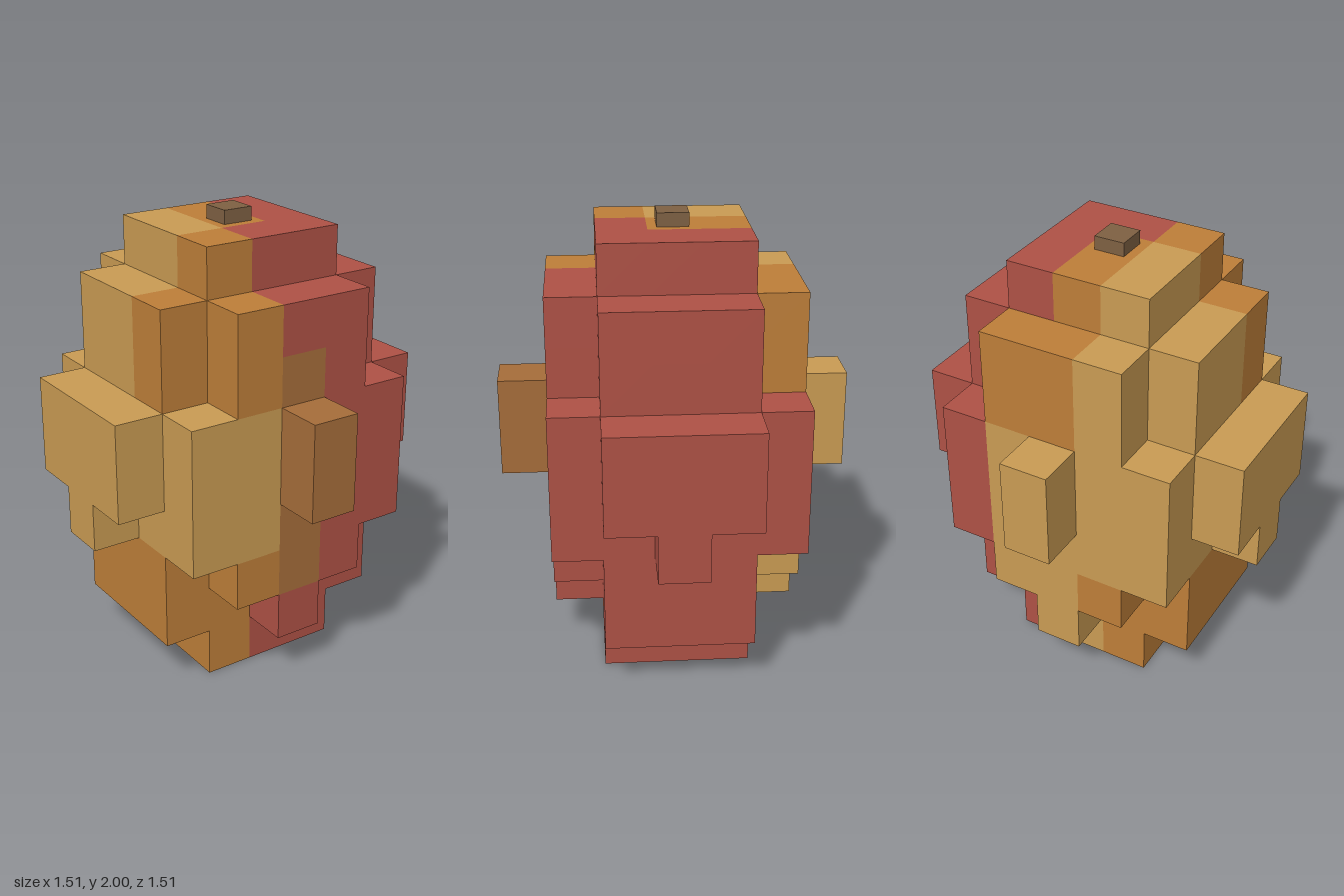
import * as THREE from 'three';
import { mergeGeometries } from 'three/addons/utils/BufferGeometryUtils.js';

const S = 0.2156; // block edge

const makeMaterial = (name, color) => {
  const m = new THREE.MeshStandardMaterial({ color });
  m.name = name;
  return m;
};

// Half width (in blocks) of every layer at |z| = 0, 1, 2, 3, from the bottom up
const LAYERS = [
  [1, 1], [2, 2, 0], [2, 2, 1],
  [3, 2, 2], [3, 3, 2, 0], [3, 3, 2, 0],
  [2, 2, 1], [2, 2, 1], [1, 1],
];

function filled(x, y, z) {
  const half = LAYERS[y]?.[Math.abs(z)];
  return half !== undefined && Math.abs(x) <= half;
}

// Colour patches: red on one side, tan and orange on the other, brown front stripe
function patchColor(x, y, z) {
  const tier = Math.floor(y / 3);
  if (x === 0 && z >= 2 && y >= 2 && y <= 6) return 'brown';
  if (x === 1 && z === -2) return tier === 2 ? 'orange' : 'tan';
  if (x > 0) return 'red';
  if (x === 0) {
    if (z > 0) return tier === 1 ? 'brown' : 'red';
    return tier === 2 ? 'orange' : 'tan';
  }
  if (tier === 0) return 'orange';
  if (tier === 1) return 'tan';
  return z > 0 ? 'orange' : 'tan';
}

const DIRECTIONS = [
  [1, 0, 0], [-1, 0, 0], [0, 1, 0], [0, -1, 0], [0, 0, 1], [0, 0, -1],
];
const FORWARD = new THREE.Vector3(0, 0, 1);

// One outward-facing square on the given side of a block
function blockFace(x, y, z, [dx, dy, dz]) {
  const turn = new THREE.Quaternion();
  if (dz === -1) turn.setFromAxisAngle(new THREE.Vector3(0, 1, 0), Math.PI);
  else turn.setFromUnitVectors(FORWARD, new THREE.Vector3(dx, dy, dz));
  return new THREE.PlaneGeometry(S, S)
    .applyQuaternion(turn)
    .translate((x + dx / 2) * S, (y + 0.5 + dy / 2) * S, (z + dz / 2) * S);
}

export function createModel() {
  const materials = {
    red: makeMaterial('red', 0xae5145),
    orange: makeMaterial('orange', 0xbd7e39),
    tan: makeMaterial('tan', 0xc99b53),
    brown: makeMaterial('brown', 0xa66d3a),
  };
  const model = new THREE.Group();
  model.name = 'blockFruit';

  // Body in three tiers, each with one mesh per colour patch
  ['lowerBody', 'middleBody', 'upperBody'].forEach((name, tier) => {
    const group = new THREE.Group();
    group.name = name;
    const faces = { red: [], orange: [], tan: [], brown: [] };
    for (let y = tier * 3; y < tier * 3 + 3; y++) {
      for (let x = -3; x <= 3; x++) {
        for (let z = -3; z <= 3; z++) {
          if (!filled(x, y, z)) continue;
          for (const d of DIRECTIONS) {
            if (filled(x + d[0], y + d[1], z + d[2])) continue;
            faces[patchColor(x, y, z)].push(blockFace(x, y, z, d));
          }
        }
      }
    }
    for (const [color, list] of Object.entries(faces)) {
      if (!list.length) continue;
      const patch = new THREE.Mesh(mergeGeometries(list), materials[color]);
      patch.name = color === 'brown' ? 'frontStripe' : color + 'Patch';
      group.add(patch);
    }
    model.add(group);
  });

  // Short stem on top
  const top = LAYERS.length * S;
  const stem = new THREE.Mesh(
    new THREE.BoxGeometry(0.135, 2 - top, 0.135),
    makeMaterial('stemBrown', 0x7e6042),
  );
  stem.name = 'stem';
  stem.position.y = (2 + top) / 2;
  model.add(stem);

  return model;
}
